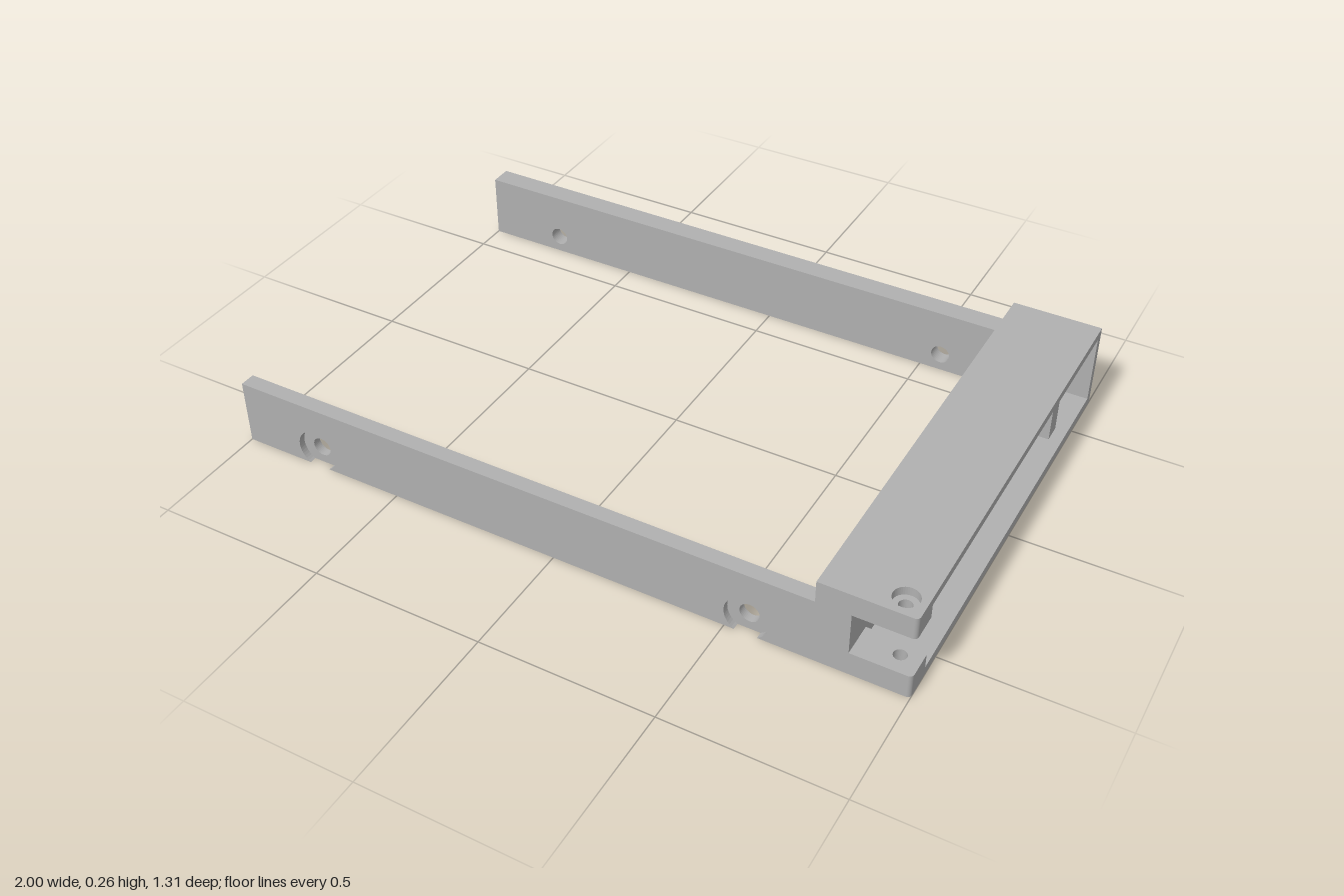
import * as THREE from 'three';

const grey = new THREE.MeshStandardMaterial({ color: 0xb0b0b0 });
grey.name = 'grey plastic';

const PIVOT = { x: 0.945, z: 0.6 };
const SCREW_X = [-0.76, 0.56], SCREW_Y = 0.053, BORE_R = 0.062, SCREW_R = 0.028;

function add(parent, name, geometry) {
  const mesh = new THREE.Mesh(geometry, grey);
  mesh.name = name;
  parent.add(mesh);
  return mesh;
}

// Box given by its limits on each axis
function block(parent, name, x0, x1, y0, y1, z0, z1) {
  const mesh = add(parent, name, new THREE.BoxGeometry(x1 - x0, y1 - y0, z1 - z0));
  mesh.position.set((x0 + x1) / 2, (y0 + y1) / 2, (z0 + z1) / 2);
}

function extrude(shape, depth) {
  return new THREE.ExtrudeGeometry(shape, { depth, bevelEnabled: false, curveSegments: 20 });
}

function circle(x, y, r) {
  return new THREE.Path().absarc(x, y, r, 0, Math.PI * 2, true);
}

// Side rail: an inner layer with screw holes, an outer layer with open-bottomed counterbores
function rail(parent, name, zInner, zOuter) {
  const group = new THREE.Group();
  group.name = name;
  const bore = 0.02, dir = Math.sign(zOuter - zInner), zMid = zOuter - dir * bore;

  const inner = new THREE.Shape();
  inner.moveTo(-1, 0).lineTo(0.74, 0).lineTo(0.74, 0.195).lineTo(-1, 0.195).closePath();
  for (const x of SCREW_X) inner.holes.push(circle(x, SCREW_Y, SCREW_R));

  const outer = new THREE.Shape();
  const half = Math.acos(SCREW_Y / BORE_R);
  outer.moveTo(-1, 0);
  for (const x of SCREW_X) {
    outer.lineTo(x - BORE_R * Math.sin(half), 0);
    outer.absarc(x, SCREW_Y, BORE_R, -Math.PI / 2 - half, -Math.PI / 2 + half, true);
  }
  outer.lineTo(0.74, 0).lineTo(0.74, 0.195).lineTo(-1, 0.195).closePath();

  add(group, 'railInnerLayer', extrude(inner, Math.abs(zMid - zInner))).position.z = Math.min(zMid, zInner);
  add(group, 'railOuterLayer', extrude(outer, bore)).position.z = Math.min(zMid, zOuter);
  parent.add(group);
}

// Horizontal plate drawn in x and -z, with a hole at the pivot
function plate(parent, name, shape, holeR, y0, y1) {
  shape.holes = [circle(PIVOT.x, -PIVOT.z, holeR)];
  add(parent, name, extrude(shape, y1 - y0).rotateX(-Math.PI / 2)).position.y = y0;
}

export function createModel() {
  const model = new THREE.Group();
  model.name = 'driveTray';

  rail(model, 'frontRail', 0.61, 0.655);
  rail(model, 'backRail', -0.59, -0.655);

  const head = new THREE.Group();
  head.name = 'head';
  model.add(head);

  // Top and bottom covers with counterbores at the pivot
  const cover = new THREE.Shape();
  cover.moveTo(0.74, -0.655).lineTo(0.988, -0.655);
  cover.absarc(0.988, -0.643, 0.012, -Math.PI / 2, 0, false);
  cover.lineTo(1, 0.655).lineTo(0.74, 0.655).closePath();
  plate(head, 'bottomCover', cover, 0.035, 0, 0.027);
  plate(head, 'topCover', cover, 0.035, 0.235, 0.26);

  // Hinge lugs on either side of the latch slot
  const lug = new THREE.Shape();
  lug.moveTo(0.835, -0.655).lineTo(0.988, -0.655);
  lug.absarc(0.988, -0.643, 0.012, -Math.PI / 2, 0, false);
  lug.lineTo(1, -0.572);
  lug.absarc(0.983, -0.572, 0.017, 0, Math.PI / 2, false);
  lug.lineTo(0.835, -0.555).closePath();
  plate(head, 'lowerLug', lug, 0.018, 0.027, 0.07);
  plate(head, 'upperLug', lug, 0.018, 0.195, 0.235);

  // Inner wall with a long window, drawn in -z and y
  const wall = new THREE.Shape();
  wall.moveTo(-0.655, 0.027).lineTo(0.655, 0.027).lineTo(0.655, 0.235).lineTo(-0.655, 0.235).closePath();
  const win = new THREE.Path();
  win.moveTo(-0.525, 0.065).lineTo(-0.525, 0.2).lineTo(0.36, 0.2).lineTo(0.36, 0.065).closePath();
  wall.holes.push(win);
  add(head, 'windowWall', extrude(wall, 0.095).rotateY(Math.PI / 2)).position.x = 0.74;

  block(head, 'endWall', 0.835, 1, 0.027, 0.235, -0.655, -0.63);
  block(head, 'latchPost', 0.93, 0.965, 0.027, 0.235, -0.455, -0.4);

  return model;
}
